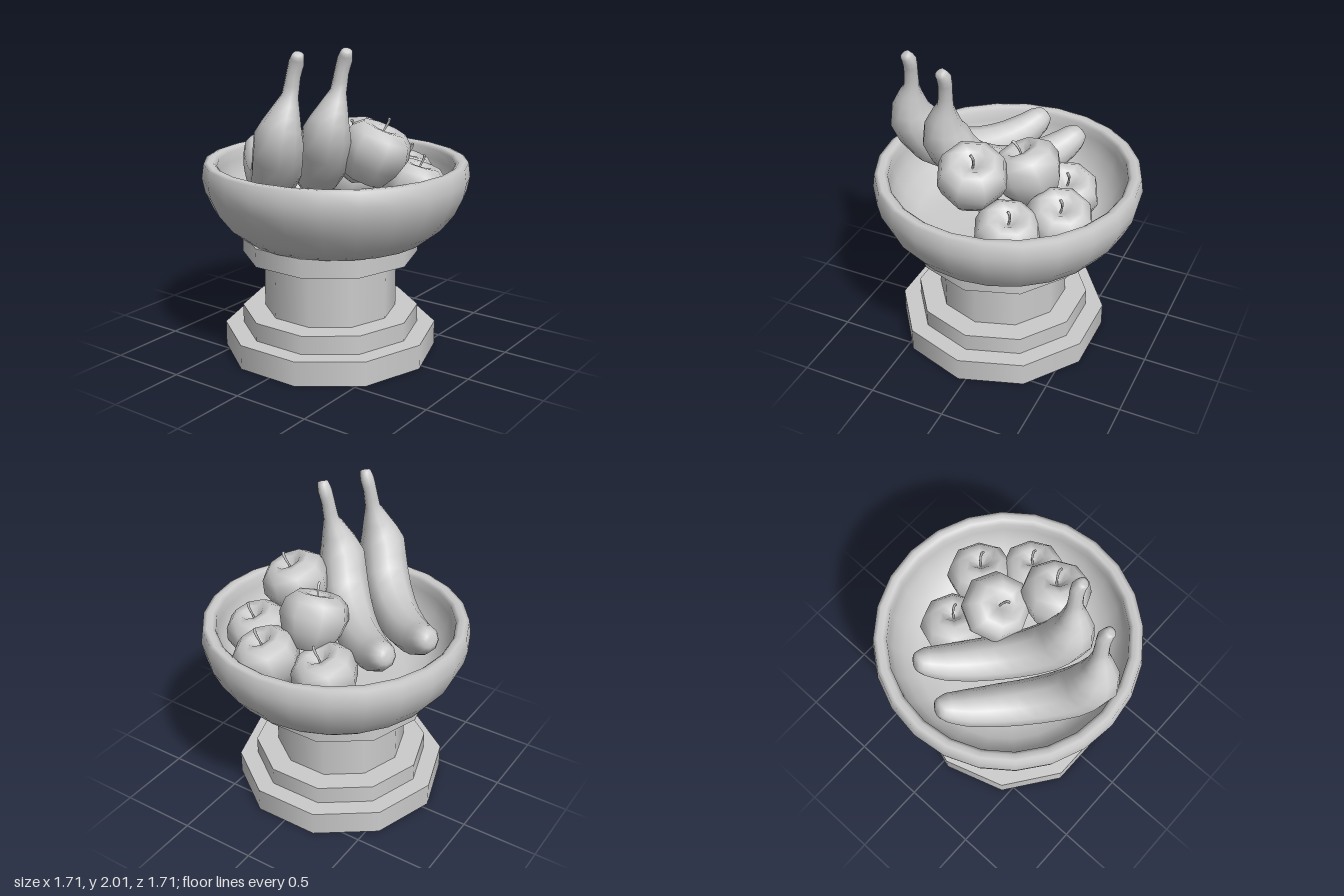
import * as THREE from 'three';
import { mergeVertices } from 'three/addons/utils/BufferGeometryUtils.js';

const material = new THREE.MeshStandardMaterial({ color: 0xcccccc });
const v2 = (list) => list.map(([x, y]) => new THREE.Vector2(x, y));

function part(name, geometry) {
  const mesh = new THREE.Mesh(geometry, material);
  mesh.name = name;
  return mesh;
}

// Smooth tube whose radius follows the fourth value of each path point
function taperedTube(points, sides, steps) {
  const curve = new THREE.CatmullRomCurve3(points.map((p) => new THREE.Vector3(p[0], p[1], p[2])));
  curve.getPointAt = curve.getPoint;
  curve.getTangentAt = curve.getTangent;
  const spans = points.length - 1;
  const n = spans * steps;
  const geo = new THREE.TubeGeometry(curve, n, 1, sides);
  const pos = geo.attributes.position;
  const v = new THREE.Vector3();
  for (let i = 0; i <= n; i++) {
    const centre = curve.getPoint(i / n);
    const k = Math.min(Math.floor(i / steps), spans - 1);
    const r = THREE.MathUtils.lerp(points[k][3], points[k + 1][3], i / steps - k);
    for (let j = 0; j <= sides; j++) {
      const id = i * (sides + 1) + j;
      v.fromBufferAttribute(pos, id).sub(centre).multiplyScalar(r).add(centre);
      pos.setXYZ(id, v.x, v.y, v.z);
    }
  }
  geo.deleteAttribute('uv');
  geo.deleteAttribute('normal');
  const merged = mergeVertices(geo, 1e-5);
  merged.computeVertexNormals();
  return merged;
}

export function createModel() {
  const model = new THREE.Group();
  model.name = 'fruitBowl';

  // Ten-sided pedestal, slightly off the bowl's axis
  const pedestal = new THREE.Group();
  pedestal.name = 'pedestal';
  pedestal.position.set(-0.047, 0, -0.012);
  for (const [name, radius, bottom, top] of [
    ['base', 0.69, 0, 0.16],
    ['baseStep', 0.573, 0.16, 0.28],
    ['column', 0.428, 0.28, 0.65],
    ['collar', 0.567, 0.65, 0.77],
  ]) {
    const tier = part(name, new THREE.CylinderGeometry(radius, radius, top - bottom, 10));
    tier.position.y = (bottom + top) / 2;
    pedestal.add(tier);
  }
  model.add(pedestal);

  // Bowl: outer wall, rounded rim, inner wall and floor
  const bowlProfile = v2([
    [0, 0.77], [0.6, 0.77], [0.7, 0.85], [0.785, 0.96], [0.835, 1.07], [0.853, 1.16],
    [0.84, 1.25], [0.815, 1.257], [0.78, 1.255], [0.757, 1.235],
    [0.755, 1.17], [0.735, 1.08], [0.68, 0.98], [0.59, 0.9], [0.45, 0.86], [0, 0.85],
  ]);
  model.add(part('bowl', new THREE.LatheGeometry(bowlProfile, 24)));

  // Apples: eight-sided, dimpled at both ends, each with a bent stem
  const appleGeo = new THREE.LatheGeometry(v2([
    [0, -0.15], [0.06, -0.19], [0.13, -0.175], [0.195, -0.07], [0.225, 0.03],
    [0.2, 0.12], [0.14, 0.17], [0.08, 0.165], [0.03, 0.12], [0, 0.1],
  ]), 8);
  const stemGeo = taperedTube([
    [0, 0.1, 0, 0.007], [0.004, 0.16, 0, 0.007], [0, 0.215, 0.01, 0.009],
    [-0.012, 0.235, 0.012, 0.01], [-0.013, 0.236, 0.012, 0],
  ], 6, 2);
  const apples = [
    // x, y, z, lean toward x, lean toward z, size
    [-0.08, 1.35, 0.345, 0.2, 0.32, 1],
    [0.165, 1.29, 0.055, -0.4, 0.05, 1],
    [0.435, 1.09, 0.215, 0.2, 0.25, 0.97],
    [0.2, 1.09, 0.455, 0.2, 0.22, 0.94],
    [0.335, 1.04, -0.15, 0.2, 0.25, 0.97],
  ];
  for (const [x, y, z, leanX, leanZ, size] of apples) {
    const apple = new THREE.Group();
    apple.name = 'apple';
    apple.add(part('appleFlesh', appleGeo), part('appleStem', stemGeo));
    apple.position.set(x, y, z);
    apple.rotation.set(leanZ, 0, -leanX);
    apple.scale.setScalar(size);
    model.add(apple);
  }

  // Two matching bananas, from blunt tip to cut stem
  const bananaGeo = taperedTube([
    [-0.015, 1.3, -0.665, 0], [-0.02, 1.296, -0.655, 0.055], [-0.05, 1.27, -0.615, 0.088],
    [-0.13, 1.205, -0.52, 0.115], [-0.26, 1.16, -0.36, 0.135], [-0.41, 1.18, -0.19, 0.145],
    [-0.56, 1.3, -0.03, 0.155], [-0.642, 1.5, 0.055, 0.15], [-0.628, 1.64, 0.09, 0.095],
    [-0.603, 1.75, 0.11, 0.05], [-0.592, 1.86, 0.125, 0.044], [-0.585, 1.94, 0.145, 0.046],
    [-0.6, 1.988, 0.17, 0.034], [-0.602, 1.992, 0.172, 0],
  ], 10, 2);
  for (const [x, z] of [[0, 0], [0.3, 0.125]]) {
    const banana = part('banana', bananaGeo);
    banana.position.set(x, 0, z);
    model.add(banana);
  }

  return model;
}
